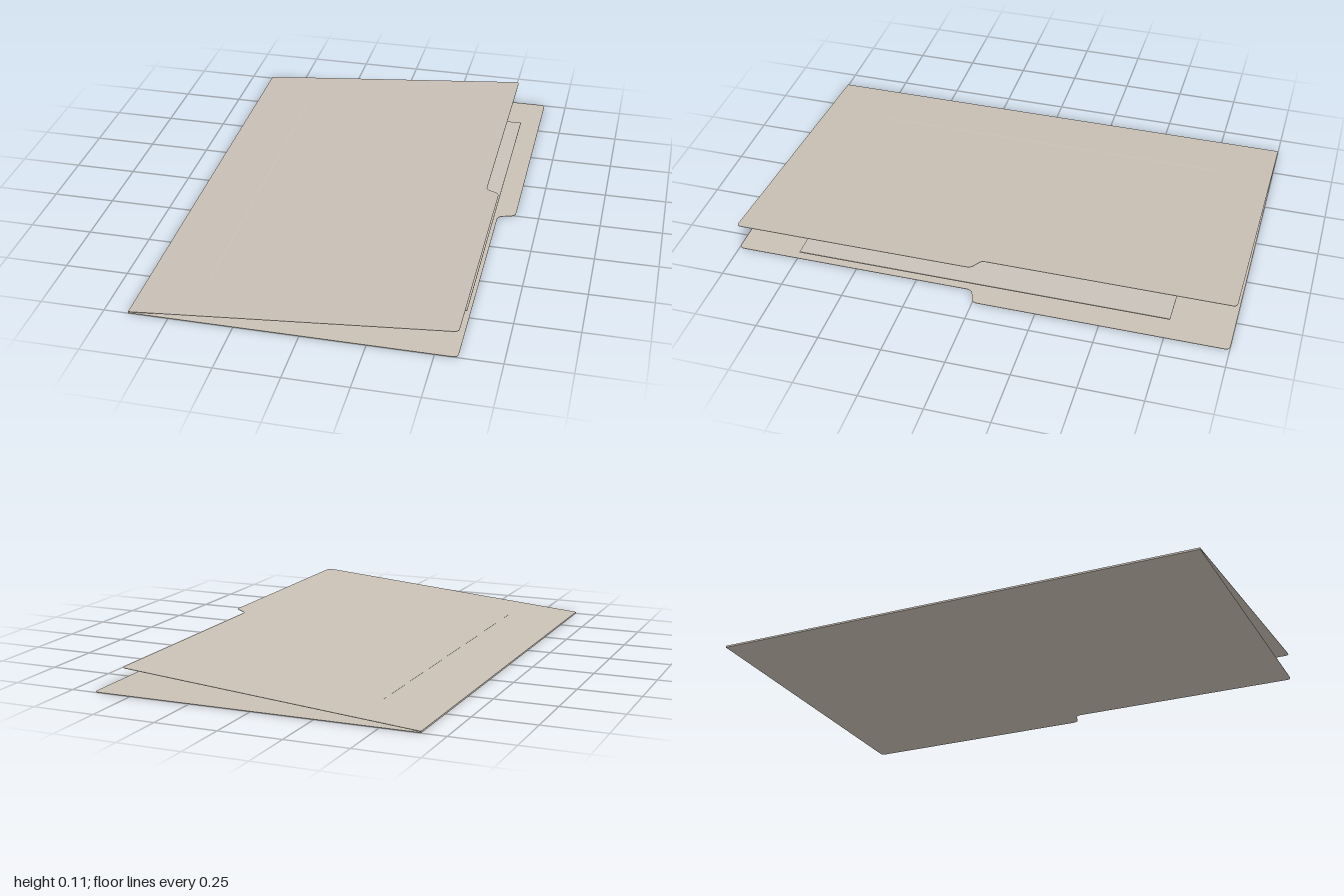
import * as THREE from 'three';

const SPINE_X = -0.655;
const CARD = 0.002;

// Card outline drawn as (distance from spine, -z), rounded on the free edge.
// frontW is the width of the front half, backW that of the back half.
function cardGeometry(frontW, backW) {
  const r = 0.02, step = Math.sign(backW - frontW);
  const s = new THREE.Shape();
  s.moveTo(0, -1);
  s.lineTo(frontW - r, -1);
  s.quadraticCurveTo(frontW, -1, frontW, -1 + r);
  s.lineTo(frontW, -0.045);
  // Small S-shaped step between the two halves
  s.quadraticCurveTo(frontW, -0.025, frontW + step * 0.015, -0.018);
  s.lineTo(backW - step * 0.018, -0.006);
  s.quadraticCurveTo(backW, 0, backW, 0.022);
  s.lineTo(backW, 1 - r);
  s.quadraticCurveTo(backW, 1, backW - r, 1);
  s.lineTo(0, 1);
  s.closePath();
  const g = new THREE.ExtrudeGeometry(s, { depth: CARD, bevelEnabled: false, curveSegments: 6 });
  g.rotateX(-Math.PI / 2);
  return g;
}

export function createModel() {
  const card = new THREE.MeshStandardMaterial({ color: 0xc9c0b5 });
  card.name = 'card';
  const paper = new THREE.MeshStandardMaterial({ color: 0xc9c2b9 });
  paper.name = 'paper';

  const folder = new THREE.Group();
  folder.name = 'folder';
  const add = (name, geometry, material, x, y, z = 0) => {
    const mesh = new THREE.Mesh(geometry, material);
    mesh.name = name;
    mesh.position.set(x, y, z);
    folder.add(mesh);
    return mesh;
  };

  // Bottom leaf with the index tab on its back half
  add('backCover', cardGeometry(1.24, 1.31), card, SPINE_X, 0);

  // Upper leaf, hinged open at the spine and cut away above the tab
  const cover = add('frontCover', cardGeometry(1.245, 1.19), card, SPINE_X, 0.005);
  cover.rotation.z = 0.0861;

  // Narrow fold joining the leaves
  add('spine', new THREE.BoxGeometry(0.002, 0.007, 2), card, SPINE_X + 0.001, 0.0035);

  // Sheets of paper held between the leaves
  add('papers', new THREE.BoxGeometry(0.99, 0.004, 1.5), paper, 0.08, 0.0262, -0.008);

  return folder;
}
